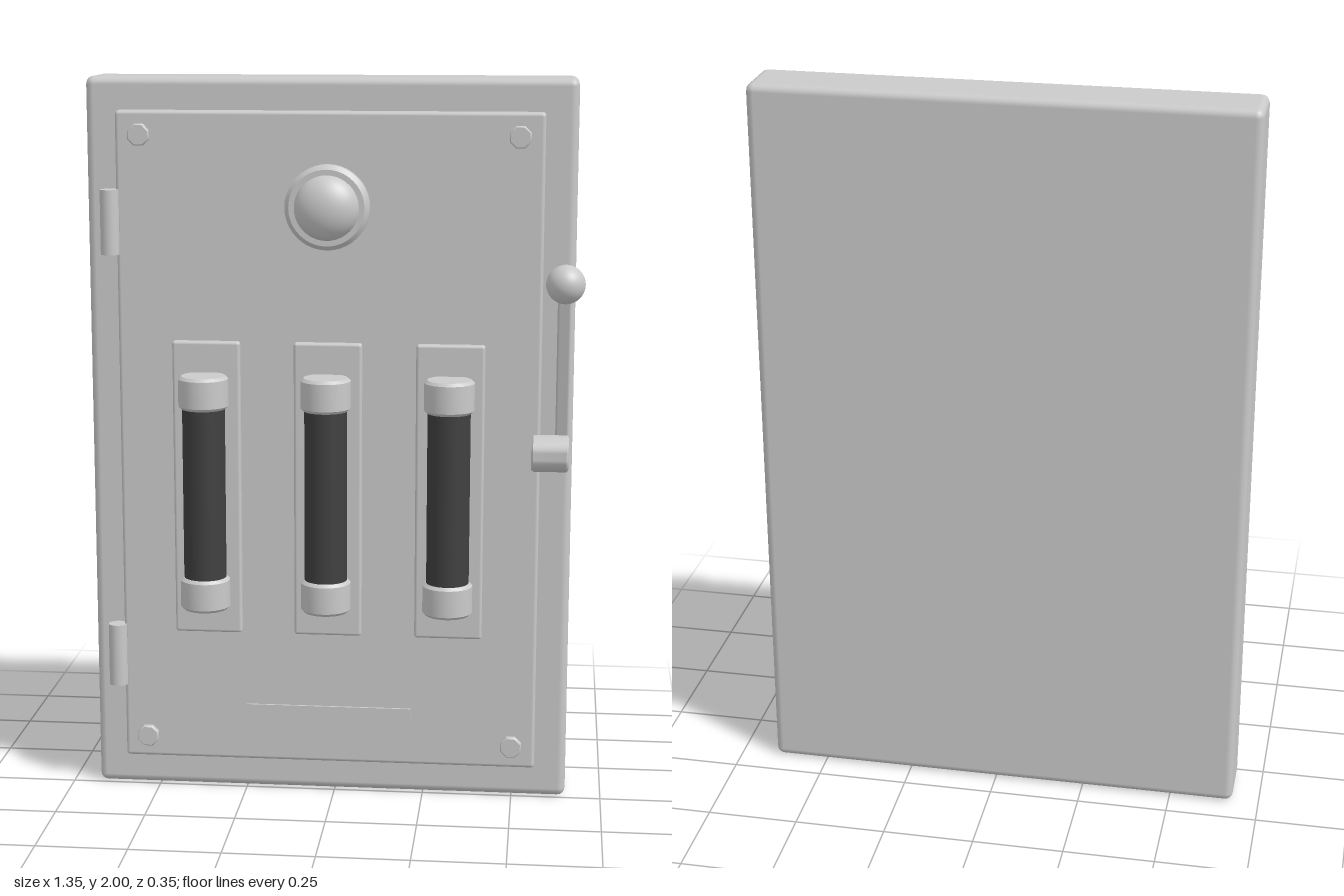
import * as THREE from 'three';
import { toCreasedNormals } from 'three/addons/utils/BufferGeometryUtils.js';
import { RoundedBoxGeometry } from 'three/addons/geometries/RoundedBoxGeometry.js';

export function createModel() {
  const model = new THREE.Group();
  model.name = 'fuseBox';

  const metal = new THREE.MeshStandardMaterial({ color: 0xcacaca });
  metal.name = 'light grey metal';
  const dark = new THREE.MeshStandardMaterial({ color: 0x404040 });
  dark.name = 'dark fuse body';

  const add = (name, geometry, material, x, y, z, parent = model) => {
    const mesh = new THREE.Mesh(geometry, material);
    mesh.name = name;
    mesh.position.set(x, y, z);
    parent.add(mesh);
    return mesh;
  };
  const box = (w, h, d, r) => new RoundedBoxGeometry(w, h, d, 2, r);
  // Upright disc or cylinder with bevelled rims, centred on its height
  const bevelled = (r, h, b, sides = 32) => toCreasedNormals(new THREE.LatheGeometry([
    new THREE.Vector2(0, -h / 2),
    new THREE.Vector2(r - b, -h / 2),
    new THREE.Vector2(r, -h / 2 + b),
    new THREE.Vector2(r, h / 2 - b),
    new THREE.Vector2(r - b, h / 2),
    new THREE.Vector2(0, h / 2),
  ], sides), 0.6);

  const midX = -0.013;

  // Cabinet, door and label plate
  add('cabinet', box(1.328, 2, 0.17, 0.022), metal, midX, 1, -0.09);
  add('door', box(1.154, 1.816, 0.05, 0.01), metal, midX, 1.003, 0.009);
  add('labelPlate', new THREE.BoxGeometry(0.46, 0.138, 0.009), metal, midX, 0.19, 0.036);

  // Hinges on the left-hand edge of the door
  for (const y of [0.394, 1.611]) {
    add('hinge', new THREE.CylinderGeometry(0.026, 0.026, 0.176, 24), metal, -0.608, y, 0.032);
  }

  // Corner screws
  for (const side of [-1, 1]) {
    for (const y of [0.159, 1.847]) {
      const screw = add('screw', bevelled(0.031, 0.02, 0.003, 8), metal, midX + side * 0.511, y, 0.042);
      screw.rotation.set(Math.PI / 2, Math.PI / 8, 0);
    }
  }

  // Indicator lamp: bevelled ring with a flattened dome
  const ring = add('lampRing', bevelled(0.114, 0.05, 0.012, 40), metal, midX, 1.659, 0.058);
  ring.rotation.x = Math.PI / 2;
  const dome = add('lampDome',
    new THREE.SphereGeometry(0.088, 40, 16, 0, Math.PI * 2, 0, Math.PI / 2), metal, midX, 1.659, 0.075);
  dome.rotation.x = Math.PI / 2;
  dome.scale.y = 0.68;

  // Three fuses on their backing plates
  for (const i of [-1, 0, 1]) {
    const fuse = new THREE.Group();
    fuse.name = 'fuse';
    fuse.position.set(midX + i * 0.333, 0.881, 0);
    model.add(fuse);
    add('fusePlate', box(0.186, 0.82, 0.028, 0.008), metal, 0, 0, 0.042, fuse);
    add('fuseBody', new THREE.CylinderGeometry(0.058, 0.058, 0.5, 32, 1, true), dark, 0, 0, 0.104, fuse);
    for (const end of [-1, 1]) {
      add('fuseCap', bevelled(0.068, 0.09, 0.008), metal, 0, end * 0.28, 0.104, fuse);
    }
  }

  // Switch lever: hub, tilted arm and ball knob
  const hub = add('leverHub', bevelled(0.05, 0.1, 0.005), metal, 0.591, 1, 0.055);
  hub.rotation.z = -Math.PI / 2;
  const arm = add('leverArm', box(0.036, 0.49, 0.027, 0.006), metal, 0.622, 1.203, 0.066);
  arm.rotation.x = 0.235;
  add('leverKnob', new THREE.SphereGeometry(0.052, 32, 20), metal, 0.624, 1.469, 0.122);

  return model;
}
